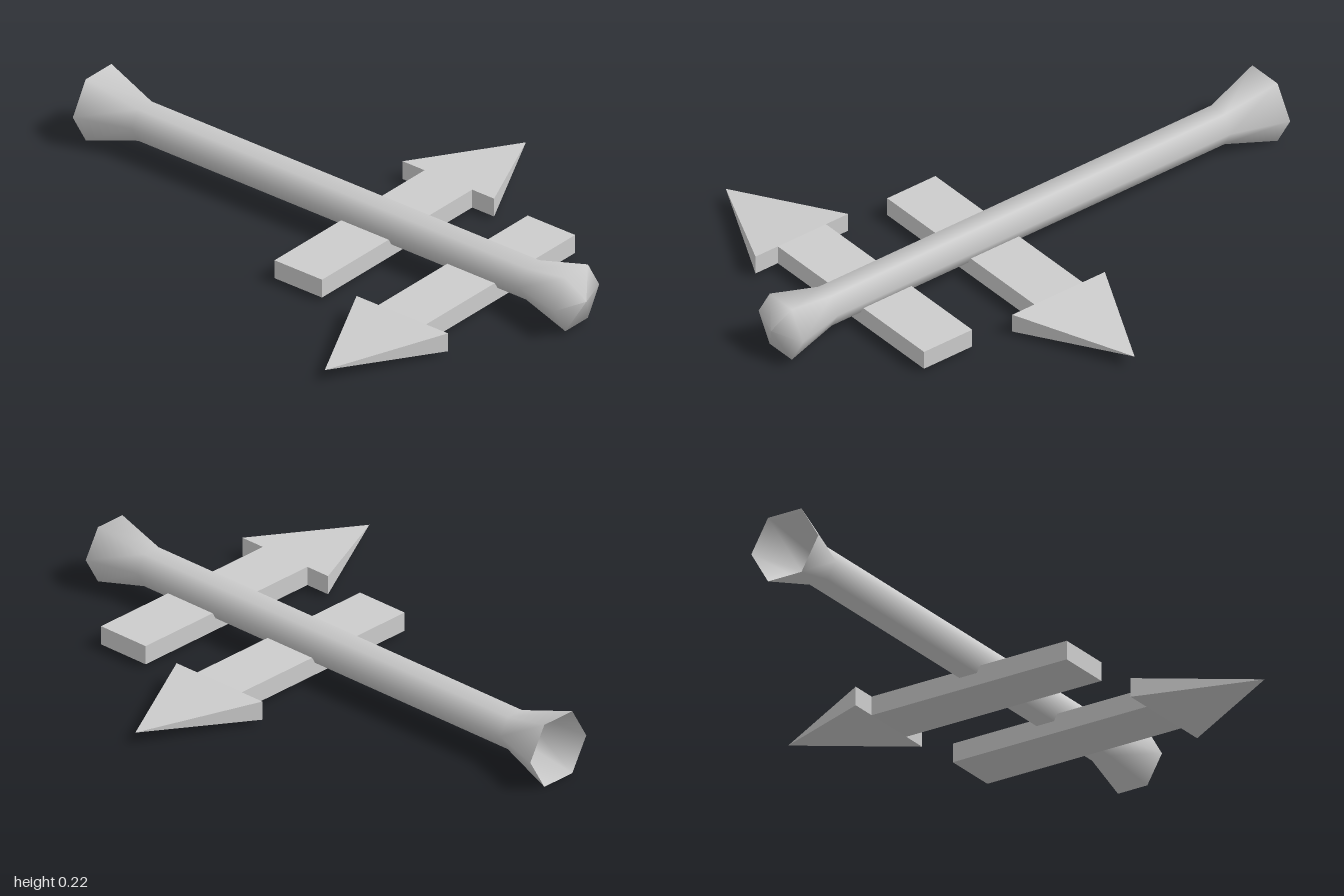
import * as THREE from 'three';

const grey = new THREE.MeshStandardMaterial({ color: 0xcccccc, side: THREE.DoubleSide });
grey.name = 'plain grey';

function addMesh(parent, name, geometry) {
  const mesh = new THREE.Mesh(geometry, grey);
  mesh.name = name;
  parent.add(mesh);
  return mesh;
}

// Flat arrow along x: a box shaft and a four-sided pyramid head
function makeArrow(name, { tail, neck, tip, z, headWidth }) {
  const thickness = 0.065, shaftWidth = 0.195;
  const arrow = new THREE.Group();
  arrow.name = name;
  arrow.position.set(0, 0.048, z);

  const shaft = new THREE.BoxGeometry(Math.abs(neck - tail), thickness, shaftWidth);
  addMesh(arrow, 'arrowShaft', shaft).position.x = (neck + tail) / 2;

  // Unit square pyramid, turned to point along x
  const cone = new THREE.ConeGeometry(Math.SQRT1_2, 1, 4, 1, false, Math.PI / 4);
  cone.rotateZ(tip > neck ? -Math.PI / 2 : Math.PI / 2);
  cone.scale(Math.abs(tip - neck), thickness, headWidth);
  const head = cone.toNonIndexed();
  head.computeVertexNormals();
  addMesh(arrow, 'arrowHead', head).position.x = (tip + neck) / 2;
  return arrow;
}

export function createModel() {
  const model = new THREE.Group();
  model.name = 'pipeWithArrows';

  // Six-sided smooth pipe: open flare at the back, blunt pointed knob at the front
  const profile = [[0.128, -1], [0.066, -0.81], [0.066, 0.78], [0.112, 0.96], [0, 1]]
    .map(([r, z]) => new THREE.Vector2(r, z));
  const pipe = new THREE.LatheGeometry(profile, 6, Math.PI / 6);
  pipe.rotateX(Math.PI / 2);
  addMesh(model, 'pipe', pipe).position.set(0.007, 0.115, 0);

  // Two opposing arrows under the pipe
  model.add(makeArrow('leftArrow', { tail: -0.37, neck: 0.375, tip: 0.76, z: 0.13, headWidth: 0.375 }));
  model.add(makeArrow('rightArrow', { tail: 0.36, neck: -0.38, tip: -0.765, z: 0.565, headWidth: 0.375 }));
  return model;
}
